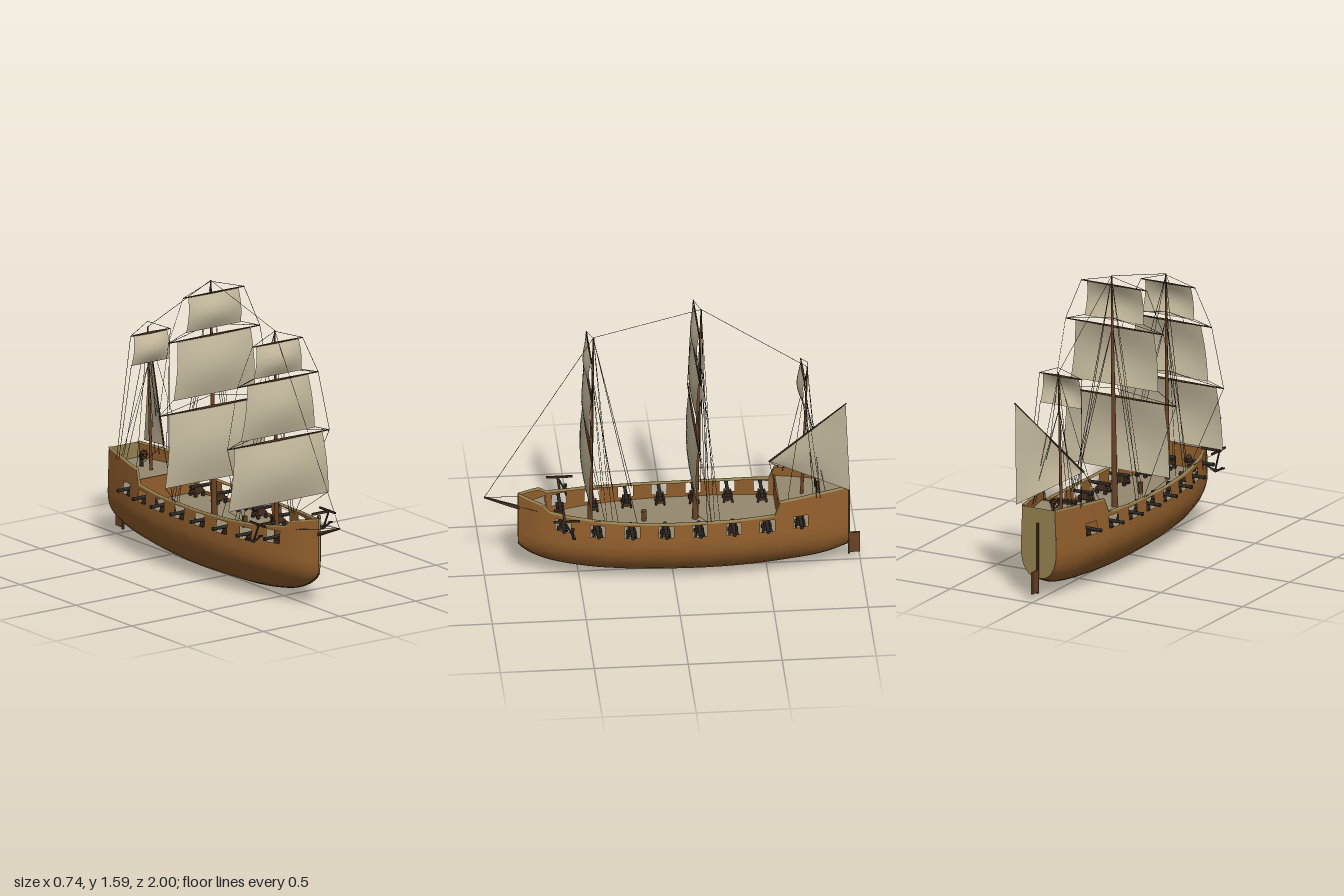
import * as THREE from 'three';
import { mergeGeometries } from 'three/addons/utils/BufferGeometryUtils.js';

const paint = (name, color, side = THREE.FrontSide) => {
  const m = new THREE.MeshStandardMaterial({ color, side });
  m.name = name;
  return m;
};
const V = (x, y, z) => new THREE.Vector3(x, y, z);

// smooth (Hermite) or straight interpolation through [z, value] pairs, z ascending
function profile(pts, smooth = true) {
  const slope = i => {
    const a = pts[Math.max(0, i - 1)], b = pts[Math.min(pts.length - 1, i + 1)];
    return (b[1] - a[1]) / (b[0] - a[0]);
  };
  return z => {
    let i = 0;
    while (i < pts.length - 2 && z > pts[i + 1][0]) i++;
    const [z0, a] = pts[i], [z1, b] = pts[i + 1], h = z1 - z0;
    const t = Math.min(1, Math.max(0, (z - z0) / h));
    if (!smooth) return a + (b - a) * t;
    const t2 = t * t, t3 = t2 * t;
    return a * (2 * t3 - 3 * t2 + 1) + b * (3 * t2 - 2 * t3)
      + h * (slope(i) * (t3 - 2 * t2 + t) + slope(i + 1) * (t3 - t2));
  };
}

// surface through a grid of points; cells can be left open
function grid(nu, nv, point, open = () => false) {
  const pos = [], idx = [];
  for (let i = 0; i <= nu; i++) for (let j = 0; j <= nv; j++) pos.push(...point(i, j));
  for (let i = 0; i < nu; i++) for (let j = 0; j < nv; j++) {
    if (open(i, j)) continue;
    const a = i * (nv + 1) + j, b = a + nv + 1;
    idx.push(a, b, a + 1, b, b + 1, a + 1);
  }
  const g = new THREE.BufferGeometry();
  g.setAttribute('position', new THREE.Float32BufferAttribute(pos, 3));
  g.setIndex(idx);
  g.computeVertexNormals();
  return g;
}

// tapered round bar between two points
function bar(a, b, r0, r1 = r0, sides = 8) {
  const d = b.clone().sub(a);
  const g = new THREE.CylinderGeometry(r1, r0, d.length(), sides);
  g.applyQuaternion(new THREE.Quaternion().setFromUnitVectors(V(0, 1, 0), d.normalize()));
  const c = a.clone().add(b).multiplyScalar(0.5);
  return g.translate(c.x, c.y, c.z);
}
const box = (w, h, d, x, y, z) => new THREE.BoxGeometry(w, h, d).translate(x, y, z);

// hull lines
const halfWidth = profile([[-0.93, 0.108], [-0.8, 0.145], [-0.6, 0.195], [-0.4, 0.222], [-0.15, 0.23],
  [0.1, 0.226], [0.3, 0.208], [0.45, 0.182], [0.6, 0.138], [0.72, 0.083], [0.82, 0.006]]);
const bottom = profile([[-0.93, 0.12], [-0.8, 0.07], [-0.6, 0.033], [-0.4, 0.015], [-0.15, 0.006],
  [0.2, 0.017], [0.4, 0.035], [0.6, 0.072], [0.72, 0.118], [0.79, 0.165], [0.82, 0.2]]);
const sheer = profile([[-0.93, 0.51], [-0.56, 0.488], [-0.53, 0.412], [-0.3, 0.401], [0, 0.398], [0.3, 0.405],
  [0.55, 0.425], [0.66, 0.44], [0.7, 0.475], [0.82, 0.497]], false);
const BILGE = 0.27;
const sideX = (y, z) => halfWidth(z) * (1 - 0.3 * Math.max(0, y - BILGE));
const ports = Array.from({ length: 8 }, (_, k) => 0.59 - 0.18 * k);
const stations = [-0.93, -0.89, -0.85, -0.81, -0.77, -0.74, -0.56, 0.66, 0.7, 0.73, 0.76, 0.79, 0.805, 0.82];
ports.forEach(c => stations.push(c - 0.04, c, c + 0.04));
stations.sort((a, b) => a - b);

function section(z, row) {
  if (row <= 8) {
    const a = row / 8 * Math.PI / 2, yb = bottom(z);
    const power = z > -0.6 ? 1.45 : 1.45 - 0.65 * (-0.6 - z) / 0.33;
    return [halfWidth(z) * Math.pow(Math.sin(a), power), yb + (BILGE - yb) * (1 - Math.cos(a))];
  }
  const lift = z > 0.5 ? 0.02 : 0.002;
  const y = [0.318 + lift, 0.386 + lift, sheer(z)][row - 9];
  return [sideX(y, z), y];
}

export function createModel() {
  const ship = new THREE.Group();
  ship.name = 'sailingShip';
  const two = THREE.DoubleSide;
  const hullMat = paint('hull brown', 0x94602d, two), trimMat = paint('pale trim', 0x968250, two);
  const deckMat = paint('deck planks', 0x95886e, two), mastMat = paint('mast wood', 0x6a4326);
  const darkMat = paint('dark wood', 0x46301f), sailMat = paint('sail cloth', 0xc6bb9f, two);
  const ropeMat = paint('rope', 0x3d362d), ironMat = paint('iron', 0x2b2927);
  const add = (name, geo, mat) => {
    const m = new THREE.Mesh(Array.isArray(geo) ? mergeGeometries(geo) : geo, mat);
    m.name = name;
    ship.add(m);
  };
  const last = stations.length - 1;

  // planking with open gun ports, and the rail on top
  const isPort = (i, j) => j === 9 && ports.some(c => Math.abs((stations[i] + stations[i + 1]) / 2 - c) < 0.039);
  for (const s of [1, -1]) {
    add(s > 0 ? 'hullLeft' : 'hullRight', grid(last, 11, (i, j) => {
      const [x, y] = section(stations[i], j);
      return [s * x, y, stations[i]];
    }, isPort), hullMat);
    add('rail', grid(last, 3, (i, j) => {
      const z = stations[i], y = sheer(z), x = sideX(y, z);
      return [s * Math.max(0, x + [0.002, 0.002, -0.013, -0.013][j]), y + [-0.006, 0.003, 0.003, -0.006][j], z];
    }), trimMat);
  }

  // flat transom and stem faces
  for (const [name, z] of [['transom', -0.93], ['stemFace', 0.82]]) {
    const half = Array.from({ length: 12 }, (_, j) => section(z, j));
    const outline = [...half, ...half.slice(1).reverse().map(([x, y]) => [-x, y])];
    const g = new THREE.ShapeGeometry(new THREE.Shape(outline.map(([x, y]) => new THREE.Vector2(x, y))));
    add(name, g.translate(0, 0, z + Math.sign(z) * 0.001), trimMat);
  }
  const keelLine = new THREE.CatmullRomCurve3(stations.map(z => V(0, bottom(z) + 0.001, z)));
  add('keel', new THREE.TubeGeometry(keelLine, 50, 0.005, 6), darkMat);

  // decks and the bulkheads between them
  for (const [name, y, z0, z1] of [['mainDeck', 0.3, -0.93, 0.82], ['poopDeck', 0.425, -0.93, -0.56], ['foreDeck', 0.415, 0.67, 0.82]]) {
    add(name, grid(20, 1, (i, j) => {
      const z = z0 + (z1 - z0) * i / 20;
      return [(j ? 1 : -1) * sideX(y, z) * 0.99, y, z];
    }), deckMat);
  }
  for (const [z, top] of [[-0.56, 0.43], [0.67, 0.42]])
    add('bulkhead', box(2 * sideX(0.4, z) - 0.008, top - 0.3, 0.008, 0, (top + 0.3) / 2, z), hullMat);

  // cannons
  const iron = [], carriages = [];
  for (const z of ports) for (const s of [1, -1]) {
    const w = halfWidth(z), x = s * (w - 0.058), y = z > 0.5 ? 0.367 : 0.352;
    carriages.push(box(0.075, 0.018, 0.036, x, y - 0.026, z));
    for (const e of [1, -1]) {
      carriages.push(box(0.05, 0.022, 0.008, x, y - 0.008, z + e * 0.016));
      for (const k of [1, -1]) iron.push(bar(V(x + k * 0.025, 0.312, z + e * 0.018), V(x + k * 0.025, 0.312, z + e * 0.027), 0.012));
    }
    iron.push(bar(V(s * (w - 0.1), y, z), V(s * (w + 0.052), y, z), 0.012, 0.008, 10));
    iron.push(bar(V(s * (w + 0.042), y, z), V(s * (w + 0.055), y, z), 0.0105, 0.0105, 10));
  }
  add('cannonCarriages', carriages, darkMat);
  add('cannonsAndWheels', iron, ironMat);

  // anchors slung from their beams
  const anchors = [], beams = [];
  for (const s of [1, -1]) {
    const x = s * 0.23;
    beams.push(box(0.12, 0.012, 0.012, s * 0.18, 0.45, 0.59), box(0.01, 0.01, 0.14, x, 0.452, 0.58));
    anchors.push(bar(V(x, 0.45, 0.59), V(x, 0.355, 0.545), 0.005));
    for (const e of [1, -1]) {
      anchors.push(bar(V(x, 0.35, 0.545), V(x + e * 0.045, 0.37, 0.545), 0.008, 0.004));
      anchors.push(box(0.02, 0.006, 0.018, x + e * 0.045, 0.372, 0.545));
    }
  }
  add('anchorBeams', beams, darkMat);
  add('anchors', anchors, ironMat);

  // capstan, steering wheel, rudder, bowsprit
  add('capstan', new THREE.CylinderGeometry(0.015, 0.012, 0.06, 12).translate(0, 0.33, 0.15), mastMat);
  const wheel = [new THREE.TorusGeometry(0.024, 0.004, 6, 20).translate(0, 0.49, -0.76), box(0.012, 0.07, 0.016, 0, 0.46, -0.775)];
  for (let k = 0; k < 4; k++) {
    const c = Math.cos(k * Math.PI / 4) * 0.035, d = Math.sin(k * Math.PI / 4) * 0.035;
    wheel.push(bar(V(-c, 0.49 - d, -0.76), V(c, 0.49 + d, -0.76), 0.002, 0.002, 5));
  }
  add('steeringWheel', wheel, darkMat);
  add('rudderPost', box(0.012, 0.39, 0.01, 0, 0.235, -0.94), darkMat);
  add('rudderBlade', box(0.012, 0.12, 0.06, 0, 0.11, -0.97), mastMat);
  add('bowsprit', bar(V(0, 0.345, 0.64), V(0, 0.485, 1), 0.018, 0.005, 10), darkMat);

  // masts with yards, square sails and rigging; sails are [yardY, yardHalf, topHalf, bottomY, bottomHalf]
  const ropes = [];
  const rope = (a, b) => ropes.push(bar(a, b, 0.0014, 0.0014, 4));
  const masts = [
    { name: 'fore', z: [0.438, 0.418], y: [0.3, 1.445], r: 0.014, shrouds: [0.2, 0.3, 0.33, 0.36], foot: 0.41,
      sails: [[0.85, 0.335, 0.29, 0.51, 0.33], [1.18, 0.265, 0.2, 0.88, 0.243], [1.385, 0.165, 0.14, 1.21, 0.157]] },
    { name: 'main', z: [-0.122, -0.155], y: [0.3, 1.59], r: 0.017, shrouds: [-0.17, -0.19, -0.21, -0.24], foot: 0.4,
      sails: [[0.91, 0.37, 0.3, 0.51, 0.33], [1.3, 0.3, 0.24, 0.98, 0.267], [1.53, 0.2, 0.165, 1.34, 0.18]] },
    { name: 'mizzen', z: [-0.684, -0.72], y: [0.3, 1.205], r: 0.01, shrouds: [-0.6, -0.74, -0.78, -0.81], foot: 0.49,
      sails: [[1.18, 0.13, 0.11, 1.02, 0.125]] },
  ];
  for (const { name, z: [zb, zt], y: [yb, yt], r, shrouds, foot, sails } of masts) {
    const mastZ = y => zb + (zt - zb) * (y - yb) / (yt - yb);
    add(name + 'Mast', bar(V(0, yb, zb), V(0, yt, zt), r, 0.004, 12), mastMat);
    sails.forEach(([y, half, top, low, wide], k) => {
      const z = mastZ(y) + 0.024, n = 10;
      add(name + 'Yard', [1, -1].map(s => bar(V(0, y, z), V(s * half, y, z), 0.007 - k * 0.001, 0.003)), darkMat);
      add(name + 'Sail', grid(n, n, (i, j) => {
        const u = i / n, v = j / n;
        const belly = 0.032 * Math.sin(Math.PI * v) * (0.4 + 0.6 * Math.sin(Math.PI * u));
        return [(2 * u - 1) * (top + (wide - top) * v), y - 0.004 + (low - y) * v, z + belly];
      }), sailMat);
      for (const s of [1, -1]) {
        const under = k ? sails[k - 1] : null;
        const hold = under ? V(s * under[1], under[0], mastZ(under[0]) + 0.024) : V(s * halfWidth(z) * 0.95, foot, z - 0.06);
        rope(V(s * wide, low, z), hold);
        rope(V(s * half, y, z), under ? hold : V(s * halfWidth(z) * 0.95, foot, z - 0.08));
        rope(V(s * half, y, z), V(0, y + 0.055, mastZ(y + 0.055)));
      }
    });
    shrouds.forEach((z, k) => {
      const y = k % 2 ? yt - (yt - yb) * 0.22 : yt - 0.01;
      for (const s of [1, -1]) rope(V(0, y, mastZ(y)), V(s * (sideX(foot, z) - 0.02), foot - 0.02, z));
    });
  }

  // slanted yard and triangular sail at the stern
  const low = V(-0.04, 0.605, -0.52), peak = V(0.155, 1.06, -0.91), clew = V(0.135, 0.51, -0.935);
  add('sternYard', bar(low, peak.clone().lerp(low, -0.01), 0.005, 0.003), darkMat);
  add('sternSail', grid(10, 10, (i, j) => {
    const p = low.clone().lerp(peak.clone().lerp(clew, j / 10), i / 10);
    const b = 0.015 * Math.sin(Math.PI * i / 10) * Math.sin(Math.PI * j / 10);
    return [p.x + b, p.y, p.z];
  }), sailMat);
  rope(low, V(0.17, 0.49, -0.55));
  rope(low, V(-0.17, 0.49, -0.58));

  // stays from the bowsprit over the mast tops
  const stays = [V(0, 0.485, 1), V(0, 1.445, 0.418), V(0, 1.59, -0.155), V(0, 1.205, -0.72)];
  for (let i = 0; i < 3; i++) rope(stays[i], stays[i + 1]);
  for (const s of [1, -1]) rope(stays[0], V(s * 0.08, 0.43, 0.72));
  add('rigging', ropes, ropeMat);
  return ship;
}
